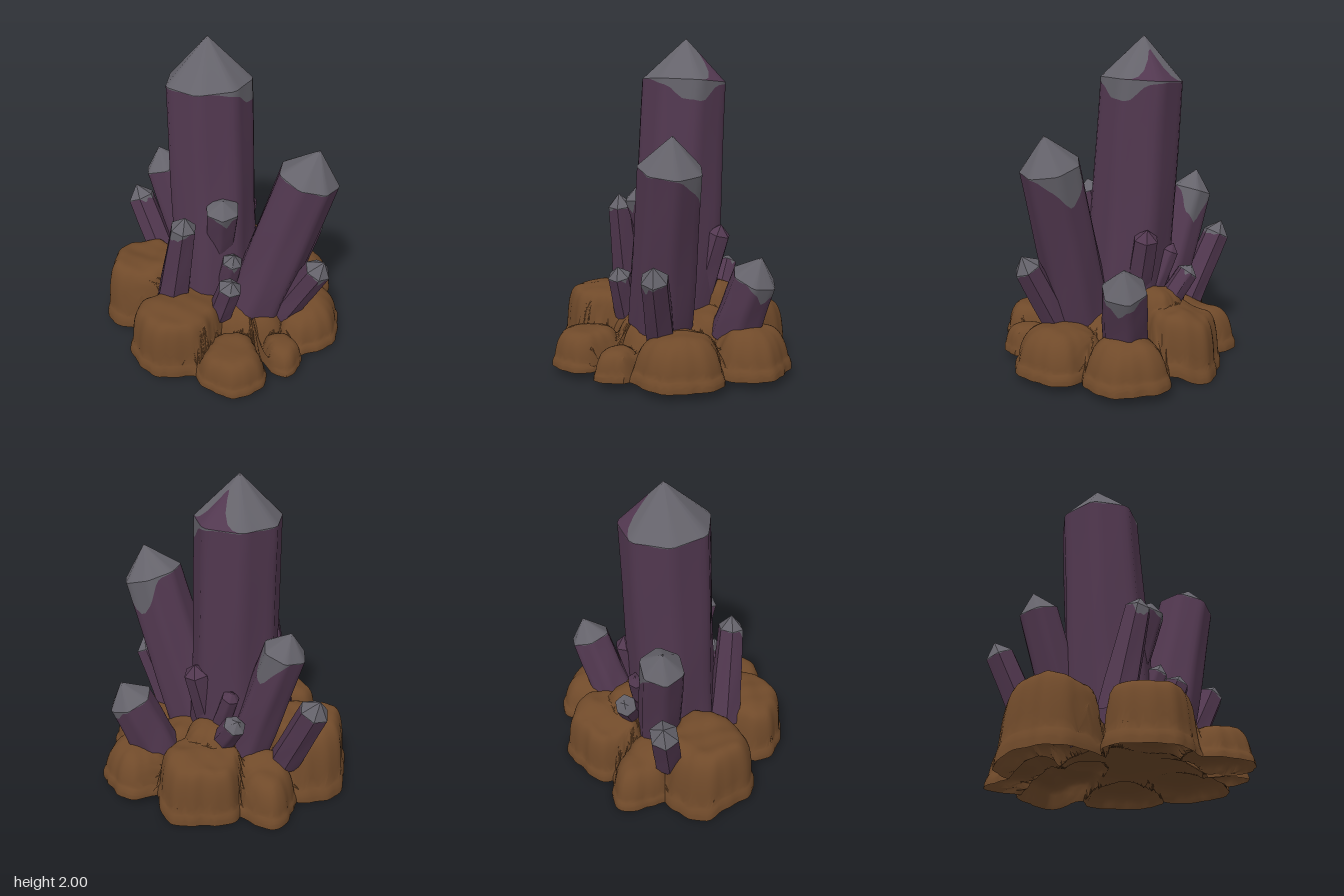
import * as THREE from 'three';
import { toCreasedNormals } from 'three/addons/utils/BufferGeometryUtils.js';

const { lerp, smoothstep } = THREE.MathUtils;
const named = (name, color) => {
  const m = new THREE.MeshStandardMaterial({ color });
  m.name = name;
  return m;
};
const part = (name, geometry, material) => {
  const m = new THREE.Mesh(geometry, material);
  m.name = name;
  return m;
};

// Closed-around surface: point(theta, t) sampled on a grid, facing outward
function surface(cols, rows, point, crease) {
  const pos = [], idx = [];
  for (let j = 0; j <= rows; j++)
    for (let i = 0; i <= cols; i++)
      pos.push(...point(((i % cols) / cols) * Math.PI * 2, j / rows).toArray());
  for (let j = 0; j < rows; j++)
    for (let i = 0; i < cols; i++) {
      const a = j * (cols + 1) + i, c = a + cols + 1;
      idx.push(a, c, a + 1, a + 1, c, c + 1);
    }
  const g = new THREE.BufferGeometry();
  g.setAttribute('position', new THREE.Float32BufferAttribute(pos, 3));
  g.setIndex(idx);
  return toCreasedNormals(g, crease);
}

// Faceted shaft and pointed cap; cap colour drips down one side, and may leave a bare patch
function crystal(mats, name, base, shoulder, radius, options = {}) {
  const { drip = 0, side = 0, bare = 0, cap = radius, taper = 1.08 } = options;
  const group = new THREE.Group();
  group.name = name;
  const b = new THREE.Vector3(...base), s = new THREE.Vector3(...shoulder);
  const axis = s.clone().sub(b), len = axis.length();
  axis.normalize();
  const apex = s.clone().addScaledVector(axis, cap);
  const u = new THREE.Vector3(1, 0, 0).addScaledVector(axis, -axis.x).normalize();
  const v = u.clone().cross(axis);
  const n = radius > 0.15 ? 7 : 6, step = (Math.PI * 2) / n, turn = radius * 2;
  const ring = (a, t) => {
    const k = (a + turn) % step;
    const r = radius * lerp(taper, 1, t) * (Math.cos(step / 2) / Math.cos(k - step / 2))
      * (1 + 0.03 * Math.sin(2 * a + turn * 5) + 0.03 * Math.sin(t * 7 + 3 * a) * (1 - t));
    return b.clone().lerp(s, t).addScaledVector(u, r * Math.cos(a)).addScaledVector(v, r * Math.sin(a));
  };
  const tip = (a, t) => ring(a, 1).lerp(apex, t);

  // Jagged lower limit of the cap colour on the shaft, and the bare patch on the cap
  const edge = (a) => {
    const toward = Math.max(0, Math.cos(a - side)) ** 4;
    const jag = 0.012 * (Math.sin(a * 9 + turn) + Math.sin(a * 5));
    return 1 - Math.max(0, 0.004 + drip * toward + jag * (0.2 + toward)) / len;
  };
  const patch = (a) => bare * Math.max(0, Math.cos(a + 0.55)) ** 14;
  const cols = n * 6;
  group.add(
    part('shaft', surface(cols, 8, (a, t) => ring(a, t * edge(a)), 0.85), mats.purple),
    part('capSleeve', surface(cols, 2, (a, t) => ring(a, lerp(edge(a), 1, t)), 0.85), mats.grey),
    part('capPoint', surface(cols, 1, (a, t) => tip(a, lerp(patch(a), 1, t)), 0.5), mats.grey),
  );
  if (bare) group.add(part('barePatch', surface(cols, 1, (a, t) => tip(a, t * patch(a)), 0.5), mats.purple));
  return group;
}

// Rock mound: overlapping lumpy lobes, each a slab on a wider skirt, with a hollow underside
function rockBase(lobes, material) {
  const floor = (x, z) => 0.05 * smoothstep(z, -0.55, -0.4);
  const reach = (x, z, [cx, cz, , rx, rz], seed) => {
    const dx = x - cx, dz = z - cz, a = Math.atan2(dz, dx);
    return Math.hypot(dx / rx, dz / rz)
      / (1 + 0.05 * Math.sin(3 * a + seed * 2.1) + 0.04 * Math.sin(5 * a + seed * 1.3) + 0.015 * Math.sin(13 * a + seed));
  };
  const dome = (q, power) => Math.sqrt(Math.max(0, 1 - q ** power));
  const height = (x, z) => {
    let h = 0;
    lobes.forEach((lobe, i) => {
      const [, , top, , , power] = lobe, q = reach(x, z, lobe, i * 1.37);
      const slab = (top - 0.03) * dome(q / 0.93, power);
      h = Math.max(h, slab, 0.42 * top * dome(q, 4));
    });
    const rough = 0.012 * Math.sin(13 * x + 5 * z) + 0.01 * Math.sin(17 * z - 9 * x) + 0.006 * Math.sin(37 * x) * Math.sin(31 * z);
    return floor(x, z) + h * (1 + 2 * rough);
  };
  const outline = (a) => {
    let r = 0.9;
    while (r > 0.3 && !lobes.some((l, i) => reach(r * Math.cos(a), r * Math.sin(a), l, i * 1.37) < 1)) r -= 0.004;
    return r;
  };
  const at = (a, t, hollow) => {
    const r = outline(a) * t, x = r * Math.cos(a), z = r * Math.sin(a);
    const y = t === 1 ? floor(x, z) : height(x, z);
    return new THREE.Vector3(x, lerp(floor(x, z), y, hollow), z);
  };
  const group = new THREE.Group();
  group.name = 'rockBase';
  group.add(
    part('rockTop', surface(200, 90, (a, t) => at(a, 1 - t ** 1.4, 1), 0.6), material),
    part('rockUnderside', surface(200, 40, (a, t) => at(a, t, 0.4), 0.6), material),
  );
  return group;
}

export function createModel() {
  const mats = {
    purple: named('crystal purple', 0x523850),
    grey: named('cap grey', 0x65636b),
    brown: named('rock brown', 0x704a2a),
  };
  const plain = { ...mats, grey: mats.purple };
  const model = new THREE.Group();
  model.name = 'crystalCluster';

  // Crystals: base centre, shoulder centre, radius
  const grow = (...args) => model.add(crystal(mats, ...args));
  grow('mainCrystal', [-0.085, 0.2, -0.05], [-0.085, 1.74, -0.145], 0.265, { drip: 0.12, side: 0.5, bare: 0.7, cap: 0.26 });
  grow('secondCrystal', [0.09, 0.2, 0.19], [0.36, 1.26, 0.34], 0.19, { drip: 0.2, side: -0.7 });
  grow('leftCrystal', [0.417, 0.22, -0.1], [0.58, 0.61, -0.11], 0.14, { drip: 0.08 });
  grow('backCrystal', [-0.12, 0.25, -0.27], [-0.29, 1.02, -0.46], 0.135, { drip: 0.2, side: -0.4 });
  grow('backSmallCrystal', [-0.32, 0.25, -0.44], [-0.43, 0.7, -0.63], 0.09, { drip: 0.03, side: 1 });
  grow('rightCrystal', [-0.42, 0.3, 0.04], [-0.36, 0.95, 0.16], 0.08, { drip: 0.06, side: 2.5, taper: 1.4 });
  grow('frontSmallCrystal', [0.24, 0.22, 0.31], [0.39, 0.66, 0.48], 0.085, { drip: 0.03, side: 1.5 });
  grow('frontTinyCrystal', [-0.17, 0.28, 0.25], [-0.13, 0.56, 0.34], 0.075, { cap: 0.06 });

  // Small buds between the large crystals
  grow('frontBud', [-0.09, 0.4, 0.14], [-0.07, 0.66, 0.22], 0.065, { drip: 0.02, side: 1.6 });
  grow('highBud', [-0.1, 0.6, 0.06], [-0.12, 1.04, 0.18], 0.105, { drip: 0.05, side: 1.6, cap: 0.07, taper: 0.8 });
  grow('backTinyCrystal', [0.06, 0.35, -0.32], [0, 0.55, -0.45], 0.07, { cap: 0.05 });
  model.add(
    crystal(plain, 'backBud', [0.04, 0.45, -0.25], [0, 0.68, -0.34], 0.055),
    crystal(plain, 'sideBud', [0.08, 0.4, -0.14], [0.18, 0.8, -0.2], 0.08, { cap: 0.06 }),
  );

  // Rock lobes: x, z, top, half width, half depth, edge sharpness
  model.add(rockBase([
    [-0.5, -0.28, 0.45, 0.29, 0.29, 8],
    [-0.43, 0.23, 0.4, 0.32, 0.25, 10],
    [-0.18, -0.51, 0.3, 0.19, 0.24, 4],
    [0.19, -0.41, 0.37, 0.28, 0.26, 9],
    [0.53, -0.12, 0.3, 0.25, 0.25, 3],
    [0.39, 0.29, 0.29, 0.26, 0.28, 4],
    [-0.19, 0.54, 0.24, 0.21, 0.22, 5],
    [0.14, 0.55, 0.2, 0.12, 0.15, 4],
    [0, 0.02, 0.33, 0.45, 0.45, 5],
    [0.1, -0.27, 0.45, 0.22, 0.19, 4],
  ], mats.brown));
  return model;
}
